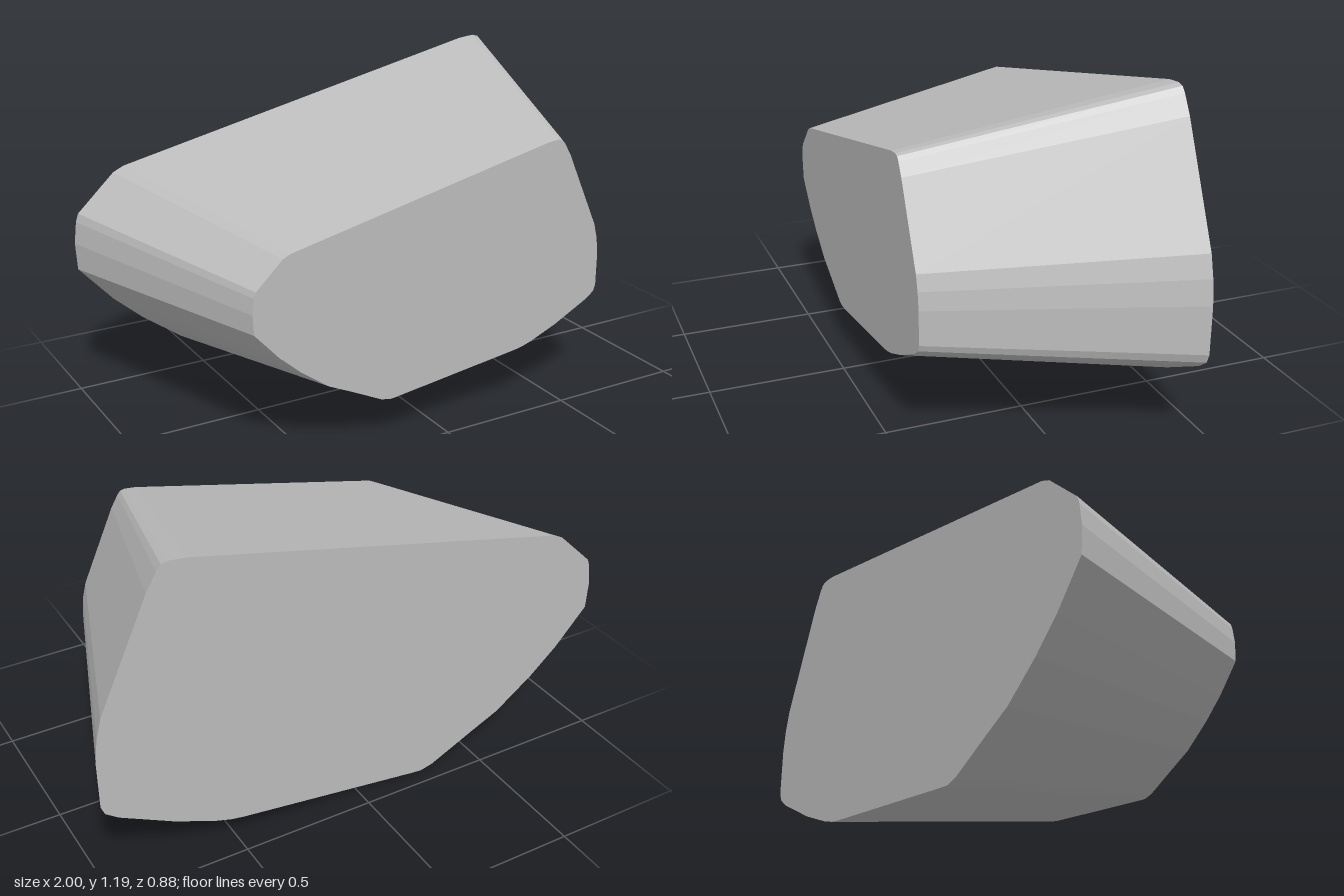
import * as THREE from 'three';

// Outline of the large back face, counter-clockwise seen from the front
const OUTLINE = [
  [-0.27, 0.0], [-0.23, 0.004], [0.48, 0.095], [0.53, 0.104], [0.59, 0.123], [0.74, 0.185],
  [0.94, 0.288], [0.985, 0.322], [0.998, 0.355], [1.0, 0.53], [0.99, 0.62], [0.97, 0.7],
  [0.79, 1.1], [0.752, 1.165], [0.735, 1.185], [0.71, 1.191], [0.65, 1.185],
  [-0.8, 0.862], [-0.84, 0.843], [-0.98, 0.71], [-0.99, 0.68], [-1.0, 0.6], [-0.995, 0.5],
  [-0.87, 0.36], [-0.76, 0.262], [-0.61, 0.152], [-0.5, 0.1], [-0.32, 0.012],
];
const HALF_DEPTH = 0.44;

export function createModel() {
  const group = new THREE.Group();
  const stone = new THREE.MeshStandardMaterial({ color: 0xbcbcbc, flatShading: true });
  stone.name = 'stone grey';

  // Extrude the outline, then shrink it evenly towards the front
  const shape = new THREE.Shape(OUTLINE.map(([x, y]) => new THREE.Vector2(x, y)));
  const geometry = new THREE.ExtrudeGeometry(shape, { depth: HALF_DEPTH * 2, bevelEnabled: false });
  geometry.translate(0, 0, -HALF_DEPTH);
  const p = geometry.attributes.position;
  for (let i = 0; i < p.count; i++) {
    const t = (p.getZ(i) + HALF_DEPTH) / (2 * HALF_DEPTH);
    const s = 1 - 0.3 * t;
    p.setX(i, p.getX(i) * s - 0.015 * t);
    p.setY(i, p.getY(i) * s + 0.155 * t);
  }
  geometry.computeVertexNormals();

  const mesh = new THREE.Mesh(geometry, stone);
  mesh.name = 'taperedStone';
  group.add(mesh);
  return group;
}
